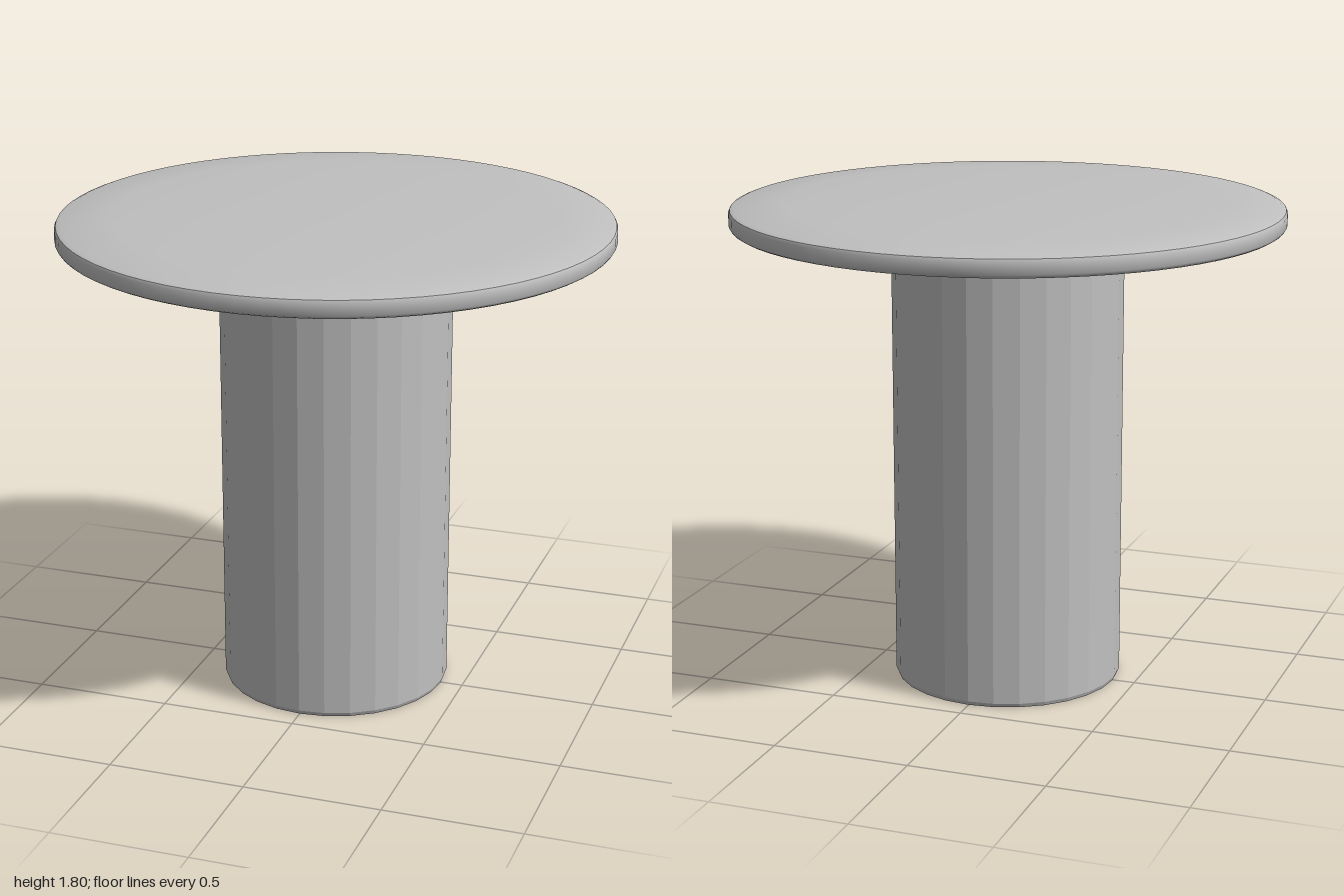
import * as THREE from 'three';
import { toCreasedNormals } from 'three/addons/utils/BufferGeometryUtils.js';

const stone = new THREE.MeshStandardMaterial({ color: 0xc0c0c0 });
stone.name = 'pale grey stone';
const green = new THREE.MeshStandardMaterial({ color: 0x27592a, side: THREE.DoubleSide });
green.name = 'dark grass green';

// Small seeded generator for the blade variation
function seeded(seed) {
  return () => {
    seed = (seed * 16807) % 2147483647;
    return seed / 2147483647;
  };
}

// Turned part; the profile runs counterclockwise in (radius, height)
function turned(name, profile, sides, crease) {
  const points = profile.map(([r, y]) => new THREE.Vector2(r, y));
  const geometry = toCreasedNormals(new THREE.LatheGeometry(points, sides), crease);
  const mesh = new THREE.Mesh(geometry, stone);
  mesh.name = name;
  return mesh;
}

// Thin, tapering, drooping blades radiating from the top of the column
function grassFringe(count) {
  const rand = seeded(37);
  const positions = [];
  const index = [];
  for (let i = 0; i < count; i++) {
    const angle = ((i + rand()) / count) * Math.PI * 2;
    const lean = (rand() - 0.5) * 0.6;
    const length = 0.07 + 0.11 * rand();
    const width = 0.004 + 0.003 * rand();
    const rise = 0.005 + 0.02 * rand();
    const start = new THREE.Vector3(Math.cos(angle) * 0.41, 1.658, Math.sin(angle) * 0.41);
    const along = new THREE.Vector3(Math.cos(angle + lean), 0, Math.sin(angle + lean));
    const across = new THREE.Vector3(-along.z, 0.5, along.x).multiplyScalar(width);
    const base = positions.length / 3;
    for (const [t, lift, w] of [[0, 0, 1], [0.55, rise, 0.8], [1, rise * 0.8, 0]]) {
      const p = start.clone().addScaledVector(along, length * t);
      p.y += lift;
      positions.push(...p.clone().sub(across.clone().multiplyScalar(w)).toArray());
      positions.push(...p.clone().add(across.clone().multiplyScalar(w)).toArray());
    }
    index.push(base, base + 1, base + 2, base + 1, base + 3, base + 2, base + 2, base + 3, base + 4);
  }
  const geometry = new THREE.BufferGeometry();
  geometry.setAttribute('position', new THREE.Float32BufferAttribute(positions, 3));
  geometry.setIndex(index);
  geometry.computeVertexNormals();
  const mesh = new THREE.Mesh(geometry, green);
  mesh.name = 'grassFringe';
  return mesh;
}

export function createModel() {
  const group = new THREE.Group();
  group.name = 'pedestalTable';

  // Hollow column, open at the bottom
  group.add(turned('column', [
    [0, 1.62], [0.395, 1.62], [0.395, 0.01], [0.4, 0], [0.416, 0],
    [0.422, 0.015], [0.422, 1.645], [0.415, 1.655], [0, 1.655],
  ], 28, 0.2));

  // Short neck carrying the top
  group.add(turned('neck', [[0.39, 1.65], [0.39, 1.68], [0.43, 1.705]], 48, 0.5));

  // Round top with a rounded rim and a slightly raised middle
  group.add(turned('tableTop', [
    [0, 1.702], [0.985, 1.702], [0.995, 1.708], [1, 1.716], [1, 1.757],
    [0.995, 1.767], [0.98, 1.773], [0.8, 1.783], [0.55, 1.796], [0, 1.796],
  ], 72, 0.7));

  group.add(grassFringe(190));
  return group;
}
